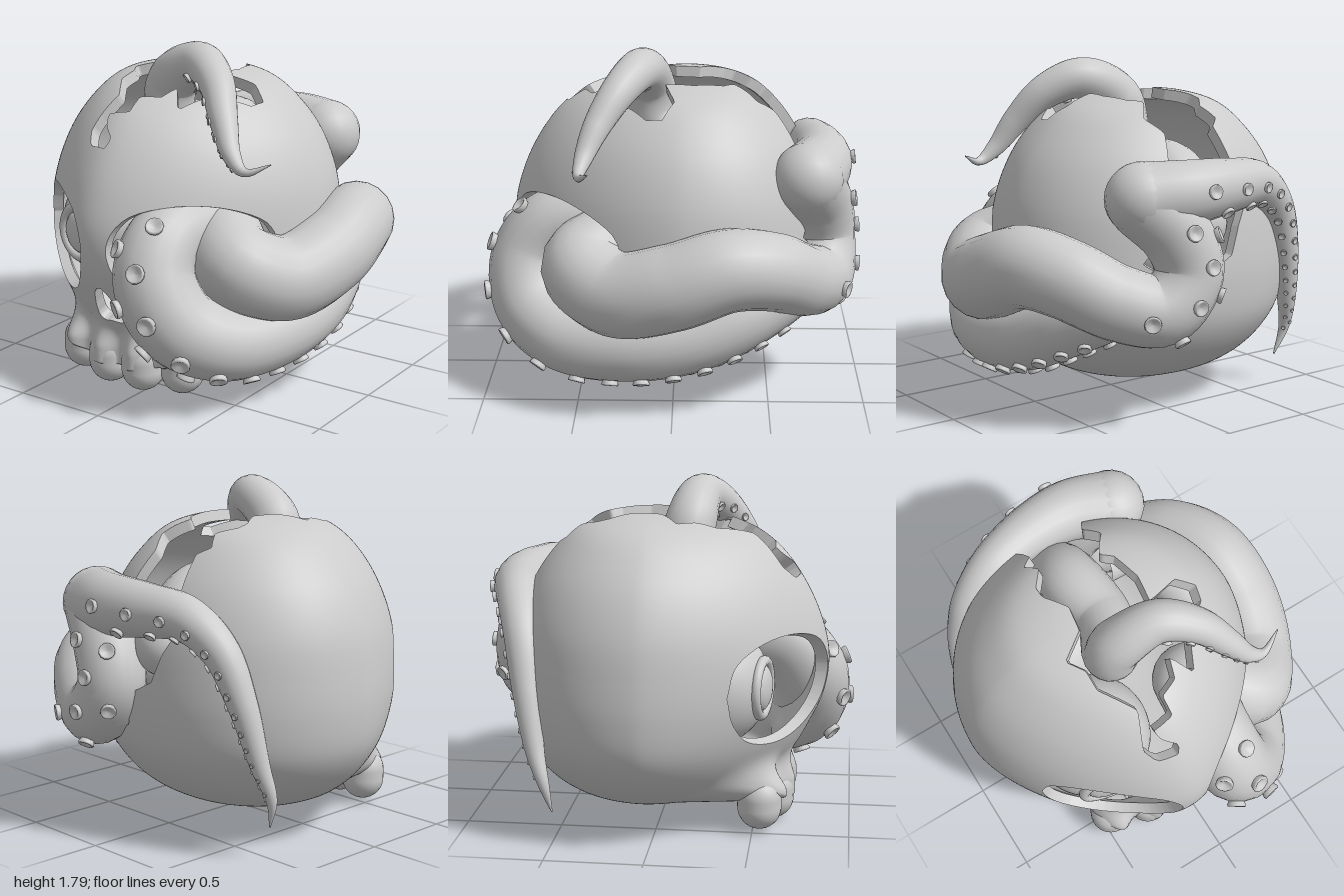
import * as THREE from 'three';
import { mergeVertices, mergeGeometries } from 'three/addons/utils/BufferGeometryUtils.js';

const V = (x, y, z) => new THREE.Vector3(x, y, z);
const mat = new THREE.MeshStandardMaterial({ color: 0xcccccc, side: THREE.DoubleSide });
const CX = -0.14, CZ = -0.05, TOOTH = 0.215;

function add(parent, name, geo, pos = [0, 0, 0], scale = [1, 1, 1]) {
  const m = new THREE.Mesh(geo, mat);
  m.name = name;
  m.position.set(...pos);
  m.scale.set(...scale);
  parent.add(m);
  return m;
}

// Skull profile from crown to base: half width, height, front reach
const profile = new THREE.CatmullRomCurve3([
  [0, 1.635, 0], [0.25, 1.62, 0.31], [0.44, 1.56, 0.52], [0.565, 1.46, 0.67], [0.69, 1.3, 0.8],
  [0.775, 1.1, 0.9], [0.81, 0.9, 0.95], [0.82, 0.7, 0.93], [0.79, 0.5, 0.84], [0.7, 0.35, 0.75],
  [0.58, 0.24, 0.66], [0.42, 0.16, 0.54], [0.2, 0.125, 0.28], [0, 0.12, 0]].map(p => V(...p)));
const fade = THREE.MathUtils.smoothstep;

function skullPoint(theta, t) {
  const { x: w, y, z: front } = profile.getPoint(t);
  const s = Math.sin(theta), c = Math.cos(theta);
  const p = c > 0 ? 1.52 + 0.13 * Math.max(0, s) : 2.1; // wedge-shaped face, round back
  const r = Math.pow(Math.hypot(s, 0.13) ** p + Math.abs(c) ** p, -1 / p);
  const v = V(CX + 1.008 * w * r * s, y, CZ + r * c * (c > 0 ? front : w * 0.9));
  // Upper jaw pushed forward below the nose, rippled over the tooth roots
  const dx = Math.abs(v.x + 0.13);
  const jaw = (1 - fade(dx, 0.36, 0.52)) * (1 - fade(y, 0.22, 0.46)) * fade(v.z, 0.1, 0.36);
  const ripple = 0.03 * Math.cos((v.x + 0.45) / TOOTH * Math.PI * 2);
  v.z += jaw * Math.max(0, 0.685 + ripple - 0.4 * dx * dx - v.z);
  return v;
}

// Signed distance to a polygon, negative inside
function polyDist(poly, x, y) {
  let d = Infinity, inside = false;
  poly.forEach(([ax, ay], i) => {
    const [bx, by] = poly[(i + 1) % poly.length];
    const ex = bx - ax, ey = by - ay;
    const k = Math.min(1, Math.max(0, ((x - ax) * ex + (y - ay) * ey) / (ex * ex + ey * ey)));
    d = Math.min(d, Math.hypot(x - ax - k * ex, y - ay - k * ey));
    if ((ay > y) !== (by > y) && x < ax + ex * (y - ay) / ey) inside = !inside;
  });
  return inside ? -d : d;
}

// Eye sockets and nose in front projection
const eyeShape = new THREE.SplineCurve([[-0.78, 0.8], [-0.74, 0.95], [-0.62, 1.04], [-0.45, 1.06], [-0.28, 1.0],
  [-0.2, 0.85], [-0.23, 0.68], [-0.33, 0.55], [-0.48, 0.5], [-0.65, 0.54], [-0.75, 0.66], [-0.78, 0.8]]
  .map(p => new THREE.Vector2(...p))).getPoints(48).slice(0, -1).map(p => [p.x, p.y]);
const noseShape = [[-0.125, 0.62], [-0.09, 0.58], [-0.06, 0.5], [-0.045, 0.42], [-0.07, 0.39], [-0.125, 0.4],
  [-0.18, 0.39], [-0.205, 0.42], [-0.19, 0.5], [-0.16, 0.58]];
const frontHoles = [eyeShape, eyeShape.map(([x, y]) => [0.28 - (x + 0.49) * 1.11, y]), noseShape];

// Jagged crack from forehead over the crown and down the back: x, pitch angle
const crack = [[-0.26, 0.97], [-0.3, 0.87], [-0.28, 0.77], [-0.24, 0.62], [-0.36, 0.42], [-0.36, 0.29], [-0.42, 0.18],
  [-0.28, 0.06], [-0.26, -0.1], [-0.34, -0.25], [-0.34, -0.33], [-0.27, -0.44], [-0.32, -0.55], [-0.26, -0.62],
  [-0.28, -0.88], [-0.34, -1.1], [-0.25, -1.3], [-0.19, -1.5], [-0.05, -1.6], [0, -1.85], [0.12, -1.9],
  [0.2, -1.6], [0.3, -1.5], [0.2, -1.3], [0.25, -1.1], [0.11, -0.88], [0.05, -0.62], [0.11, -0.48], [0.02, -0.31],
  [0.08, -0.25], [0.12, -0.06], [0.1, 0.12], [0.2, 0.09], [0.28, 0.06], [0.37, 0.15], [0.35, 0.27], [0.18, 0.44],
  [0.11, 0.62], [0.08, 0.56], [0.03, 0.46], [0, 0.58], [-0.1, 0.62], [-0.1, 0.74], [-0.22, 0.77], [-0.2, 0.84],
  [-0.13, 0.92], [-0.15, 0.98]];

function solidness(p) {
  let f = polyDist(crack, p.x, Math.atan2(p.z - CZ, p.y - 0.8));
  if (p.z > 0) for (const h of frontHoles) f = Math.min(f, polyDist(h, p.x, p.y));
  return f;
}

// Shell of the skull: a grid clipped at the holes, with inner wall and rims
function skullGeometry() {
  const NU = 190, NV = 108, outer = [], inner = [], rim = [], grid = [];
  const centre = V(CX, 0.82, CZ);
  for (let j = 0; j <= NV; j++) for (let i = 0; i < NU; i++) {
    const p = skullPoint(i / NU * Math.PI * 2, j / NV);
    grid.push({ p, q: p.clone().lerp(centre, 0.07), f: solidness(p) });
  }
  const put = (list, ...pts) => pts.forEach(v => list.push(v.x, v.y, v.z));
  const clip = tri => {
    const poly = [];
    let leave, enter;
    tri.forEach((a, i) => {
      const b = tri[(i + 1) % 3];
      if (a.f > 0) poly.push(a);
      if ((a.f > 0) === (b.f > 0)) return;
      const k = a.f / (a.f - b.f);
      const cut = { p: a.p.clone().lerp(b.p, k), q: a.q.clone().lerp(b.q, k) };
      poly.push(cut);
      if (a.f > 0) leave = cut; else enter = cut;
    });
    for (let i = 2; i < poly.length; i++) {
      put(outer, poly[0].p, poly[i - 1].p, poly[i].p);
      put(inner, poly[0].q, poly[i].q, poly[i - 1].q);
    }
    if (leave) put(rim, enter.p, leave.p, leave.q, enter.p, leave.q, enter.q);
  };
  for (let j = 0; j < NV; j++) for (let i = 0; i < NU; i++) {
    const n = (i + 1) % NU;
    const a = grid[j * NU + i], b = grid[(j + 1) * NU + i], c = grid[(j + 1) * NU + n], d = grid[j * NU + n];
    if (j < NV - 1) clip([a, b, c]);
    if (j > 0) clip([a, c, d]);
  }
  return mergeGeometries([outer, inner, rim].map(list => {
    const g = mergeVertices(new THREE.BufferGeometry()
      .setAttribute('position', new THREE.Float32BufferAttribute(list, 3)), 1e-5);
    g.computeVertexNormals();
    return g;
  }));
}

// Cupped sucker of radius 1 opening along +y
const suckerGeo = new THREE.LatheGeometry([[0.8, -0.3], [1, 0.3], [0.95, 0.5], [0.78, 0.5], [0.4, 0.25], [0, 0.18]]
  .map(p => new THREE.Vector2(...p)), 12);

// Tapering tentacle: rows are x, y, z, radius; suckers face the interpolated directions
function tentacle(name, rows, { dirs, from, to, gap, size = 0.24 }) {
  const group = new THREE.Group();
  group.name = name;
  const path = new THREE.CatmullRomCurve3(rows.map(r => V(r[0], r[1], r[2])));
  const radii = new THREE.CatmullRomCurve3(rows.map(r => V(r[3], 0, 0)), false, 'catmullrom', 0.5);
  const radiusAt = u => Math.max(0.003, radii.getPoint(path.getUtoTmapping(u)).x);
  const N = 90, M = 20, geo = new THREE.TubeGeometry(path, N, 1, M);
  const pos = geo.attributes.position, v = V();
  for (let i = 0; i <= N; i++) {
    const c = path.getPointAt(i / N), r = radiusAt(i / N);
    for (let k = i * (M + 1); k < (i + 1) * (M + 1); k++) {
      v.fromBufferAttribute(pos, k).sub(c).multiplyScalar(r).add(c);
      pos.setXYZ(k, v.x, v.y, v.z);
    }
  }
  add(group, name + 'Body', geo);
  add(group, name + 'Root', new THREE.SphereGeometry(rows[0][3], 20, 14), rows[0].slice(0, 3));
  const facing = new THREE.CatmullRomCurve3(dirs.map(d => V(...d)));
  const length = path.getLength();
  for (let u = from, n = 0; u < to; n++) {
    const r = radiusAt(u), tan = path.getTangentAt(u);
    const dir = facing.getPoint((u - from) / (to - from)).projectOnPlane(tan).normalize()
      .applyAxisAngle(tan, n % 2 ? 0.42 : -0.42);
    const s = add(group, 'sucker', suckerGeo);
    s.position.copy(path.getPointAt(u)).addScaledVector(dir, r);
    s.quaternion.setFromUnitVectors(V(0, 1, 0), dir);
    s.scale.setScalar(Math.max(0.012, r * size));
    u += Math.max(0.04, r * gap) / length;
  }
  return group;
}

export function createModel() {
  const model = new THREE.Group();
  model.name = 'skullWithTentacles';
  add(model, 'skull', skullGeometry());

  // Teeth
  [0.535, 0.59, 0.59, 0.535].forEach((z, i) =>
    add(model, 'tooth', new THREE.CapsuleGeometry(0.115, 0.05, 10, 24), [-0.45 + i * TOOTH, i % 3 ? 0.145 : 0.16, z]));

  // Eyeball with raised iris, turned slightly outward
  const eye = new THREE.Group();
  eye.name = 'eye';
  eye.position.set(-0.4, 0.775, 0.25);
  eye.rotation.y = -0.2;
  add(eye, 'eyeball', new THREE.SphereGeometry(0.33, 40, 28));
  add(eye, 'irisRing', new THREE.TorusGeometry(0.14, 0.027, 12, 40), [0, 0, 0.3]);
  add(eye, 'pupil', new THREE.SphereGeometry(0.115, 28, 16), [0, 0, 0.3], [1, 1, 0.4]);
  model.add(eye);

  // Tentacle drooping from the eye socket and sweeping back under the side
  model.add(tentacle('lowerTentacle', [[0.2, 0.9, 0.3, 0.2], [0.165, 0.87, 0.64, 0.195], [0.19, 0.7, 0.765, 0.21],
    [0.31, 0.48, 0.74, 0.21], [0.46, 0.36, 0.56, 0.195], [0.575, 0.35, 0.22, 0.185], [0.6, 0.41, -0.12, 0.175],
    [0.54, 0.53, -0.42, 0.16], [0.4, 0.64, -0.62, 0.15], [0.2, 0.68, -0.62, 0.13]],
  { dirs: [[-0.1, 0.3, 1], [-0.3, -0.1, 1], [-0.2, -0.6, 0.7], [0.1, -1, 0], [0.2, -1, 0], [0.2, -1, -0.1]],
    from: 0.15, to: 0.88, gap: 0.4 }));

  // Thick tentacle along the side, curling up behind the skull
  model.add(tentacle('sideTentacle', [[0.28, 0.85, 0.3, 0.2], [0.48, 0.75, 0.46, 0.22], [0.64, 0.66, 0.28, 0.22],
    [0.73, 0.73, 0, 0.22], [0.72, 0.82, -0.28, 0.21], [0.62, 0.78, -0.5, 0.2], [0.44, 0.67, -0.66, 0.19],
    [0.24, 0.63, -0.77, 0.18], [0.1, 0.8, -0.79, 0.175], [0.16, 1.0, -0.76, 0.18], [0.32, 1.17, -0.69, 0.18]],
  { dirs: [[-0.1, -0.6, -1], [-0.4, -0.3, -1], [-0.5, -0.1, -1], [-0.3, 0.1, -1]], from: 0.7, to: 0.95, gap: 0.5 }));

  // Tentacle crossing the back with a hanging tip
  model.add(tentacle('backTentacle', [[0.32, 1.18, -0.69, 0.185], [0.1, 1.2, -0.77, 0.165], [-0.15, 1.21, -0.77, 0.14],
    [-0.4, 1.19, -0.72, 0.115], [-0.58, 1.05, -0.67, 0.095], [-0.69, 0.8, -0.63, 0.075], [-0.76, 0.5, -0.58, 0.05],
    [-0.79, 0.32, -0.53, 0.028], [-0.75, 0.17, -0.5, 0.004]],
  { dirs: [[0, -0.3, -1], [0, -0.6, -1], [0.3, -0.5, -1], [0.4, 0, -1]], from: 0.15, to: 0.92, gap: 0.65 }));

  // Tentacle running inside the crown, rising through the crack
  model.add(tentacle('topTentacle', [[-0.1, 1.0, -0.6, 0.16], [-0.1, 1.22, -0.4, 0.165], [-0.07, 1.25, -0.12, 0.15],
    [-0.17, 1.37, 0.1, 0.14], [-0.14, 1.57, 0.14, 0.135], [0.06, 1.685, 0.18, 0.112], [0.23, 1.615, 0.28, 0.093],
    [0.35, 1.455, 0.39, 0.072], [0.44, 1.31, 0.455, 0.048], [0.53, 1.24, 0.475, 0.024], [0.65, 1.285, 0.42, 0.003]],
  { dirs: [[0, -1, 0.7], [-0.5, -0.6, 0.6], [-0.6, -0.5, 0.6], [-0.3, -0.8, 0.4]], from: 0.62, to: 0.93, gap: 0.7, size: 0.26 }));

  return model;
}
